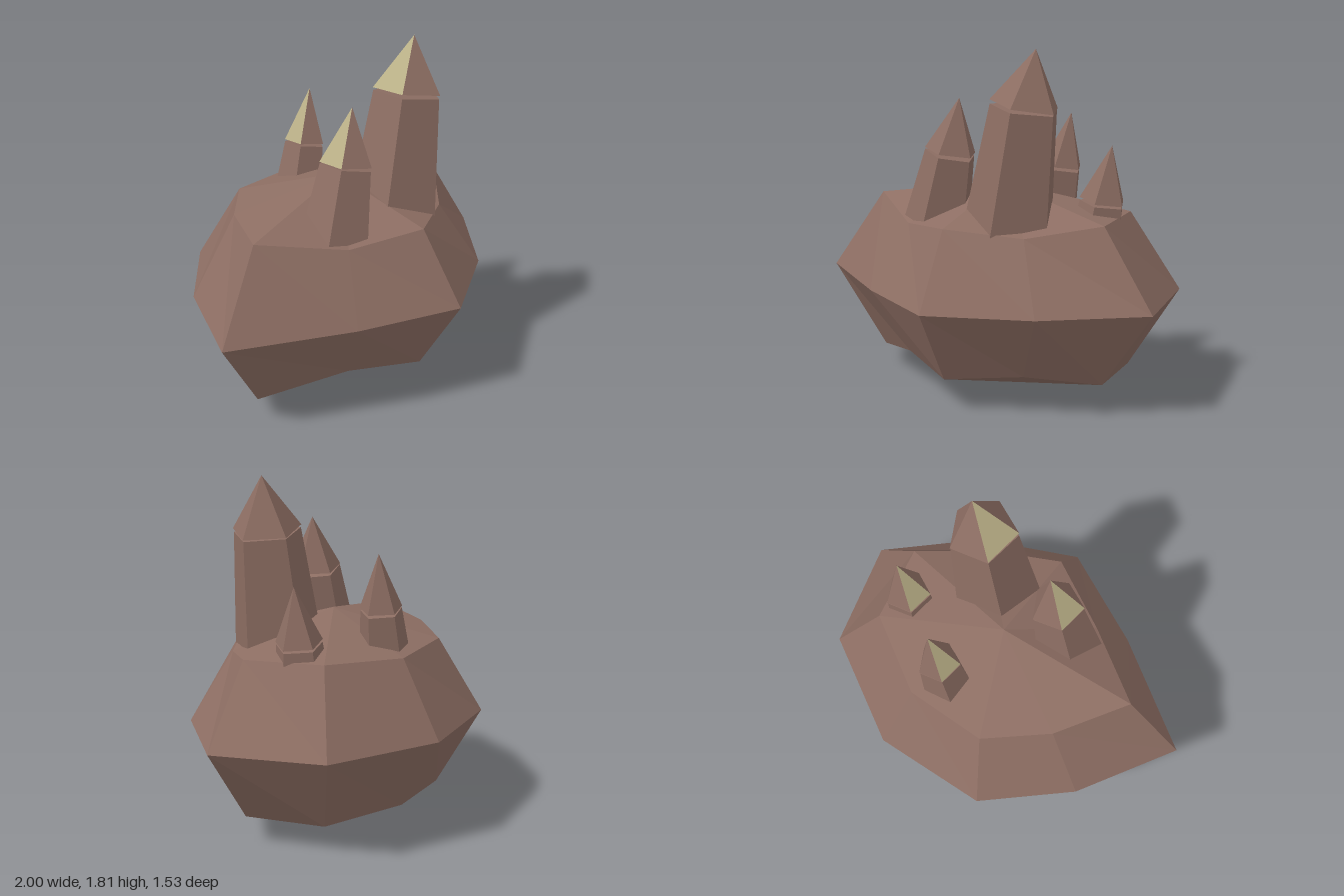
import * as THREE from 'three';

const brown = new THREE.MeshStandardMaterial({ color: 0x8d6e63, flatShading: true });
brown.name = 'brown stone';
const gold = new THREE.MeshStandardMaterial({ color: 0xbab087, flatShading: true });
gold.name = 'pale gold facet';

// Outlines as [x, z], running from the left end round the front
const waist = [[-1, 0.31], [-0.38, 0.59], [0.17, 0.76], [0.64, 0.45], [1, 0],
  [0.77, -0.54], [0.17, -0.77], [-0.43, -0.65], [-0.77, -0.24]];
// Shoulder outline as [x, z, height above the waist]
const shoulder = [[-0.71, 0.2, 0.435], [-0.28, 0.41, 0.345], [0.11, 0.54, 0.385],
  [0.45, 0.32, 0.35], [0.71, 0.02, 0.405], [0.57, -0.37, 0.41],
  [0.15, -0.54, 0.385], [-0.28, -0.47, 0.395], [-0.53, -0.19, 0.41]];

function makeRock() {
  const mid = 0.55, n = waist.length, pos = [];
  const rings = [
    shoulder.map(([x, z, h]) => [x, mid + h, z]),
    waist.map(([x, z]) => [x, mid, z]),
    shoulder.map(([x, z, h]) => [x, mid - h, z]),
  ];
  const top = [0.01, 2 * mid, 0], bottom = [0.01, 0, 0];
  for (let i = 0; i < n; i++) {
    const j = (i + 1) % n;
    pos.push(...top, ...rings[0][i], ...rings[0][j]);
    for (let r = 0; r < 2; r++) {
      const a = rings[r][j], b = rings[r][i], c = rings[r + 1][i], d = rings[r + 1][j];
      pos.push(...a, ...b, ...d, ...b, ...c, ...d);
    }
    pos.push(...bottom, ...rings[2][j], ...rings[2][i]);
  }
  const geo = new THREE.BufferGeometry();
  geo.setAttribute('position', new THREE.Float32BufferAttribute(pos, 3));
  geo.computeVertexNormals();
  const mesh = new THREE.Mesh(geo, brown);
  mesh.name = 'rock';
  return mesh;
}

// Place a y-aligned part so its axis runs between two points
function alignBetween(mesh, from, to) {
  mesh.position.copy(from).add(to).multiplyScalar(0.5);
  mesh.quaternion.setFromUnitVectors(new THREE.Vector3(0, 1, 0), to.clone().sub(from).normalize());
}

// Five-sided leaning crystal with a pointed tip and one gold facet
function makeCrystal({ base, neck, apex, rBase, rNeck }) {
  const crystal = new THREE.Group();
  crystal.name = 'crystal';
  const [b, n, a] = [base, neck, apex].map((p) => new THREE.Vector3(...p));

  const seam = n.clone().lerp(b, 0.014 / n.distanceTo(b));
  const stemGeo = new THREE.CylinderGeometry(rNeck * 0.98, rBase, b.distanceTo(seam), 5).rotateY(Math.PI / 2);
  const stem = new THREE.Mesh(stemGeo, brown);
  stem.name = 'crystalStem';
  alignBetween(stem, b, seam);

  const tipGeo = new THREE.ConeGeometry(rNeck, n.distanceTo(a), 5).rotateY(Math.PI / 2);
  const total = tipGeo.index.count;
  tipGeo.clearGroups();
  tipGeo.addGroup(0, 6, 0);
  tipGeo.addGroup(6, 3, 1);
  tipGeo.addGroup(9, total - 9, 0);
  const tip = new THREE.Mesh(tipGeo, [brown, gold]);
  tip.name = 'crystalTip';
  alignBetween(tip, n, a);

  crystal.add(stem, tip);
  return crystal;
}

const crystals = [
  { base: [0.235, 0.86, 0.19], neck: [0.335, 1.53, 0.18], apex: [0.385, 1.81, 0.165], rBase: 0.245, rNeck: 0.184 },
  { base: [-0.225, 0.86, 0.25], neck: [-0.135, 1.265, 0.235], apex: [-0.09, 1.545, 0.22], rBase: 0.185, rNeck: 0.14 },
  { base: [0.05, 0.86, -0.36], neck: [0.105, 1.155, -0.37], apex: [0.15, 1.44, -0.385], rBase: 0.14, rNeck: 0.112 },
  { base: [0.5, 0.8, -0.18], neck: [0.535, 1.035, -0.187], apex: [0.58, 1.32, -0.195], rBase: 0.145, rNeck: 0.122 },
];

export function createModel() {
  const model = new THREE.Group();
  model.name = 'crystalRock';
  model.add(makeRock());
  crystals.forEach((c) => model.add(makeCrystal(c)));
  return model;
}
